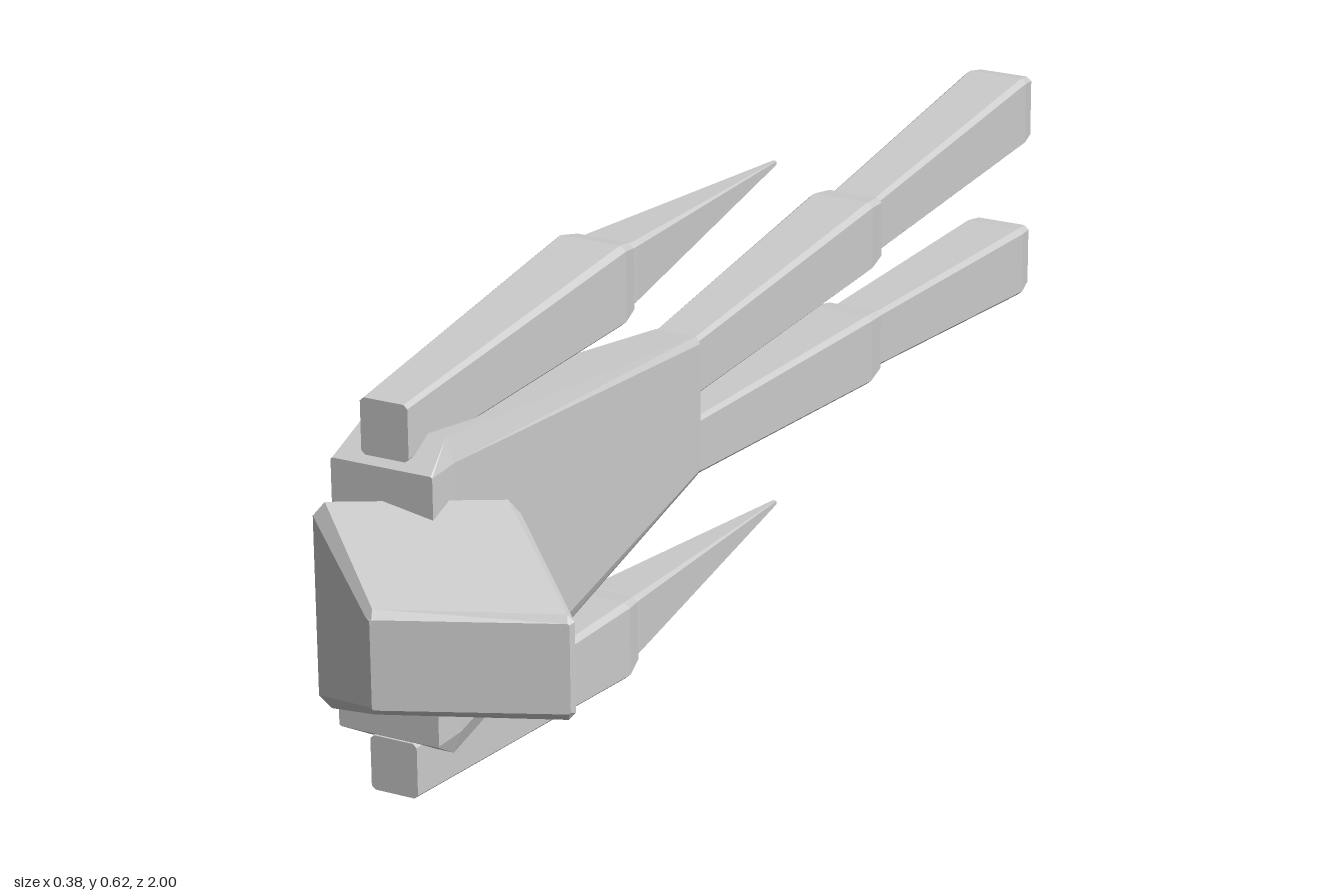
import * as THREE from 'three';

const CX = -0.115, CY = 0.306; // body axis

// Lofts chamfered rectangles from front (+z) to back.
// Section: centre x,y,z; half-width vector ux,uz; half height h; corner cuts as fractions cu, cv.
function loft(name, sections) {
  const rings = sections.map(({ x, y, z, ux, uz = 0, h, cu, cv }) => {
    const a = 1 - cu, b = 1 - cv;
    return [[1, -b], [1, b], [a, 1], [-a, 1], [-1, b], [-1, -b], [-a, -1], [a, -1]]
      .map(([s, t]) => [x + s * ux, y + t * h, z + s * uz]);
  });
  const pos = [];
  const tri = (...pts) => pts.forEach(p => pos.push(...p));
  for (let k = 0; k < rings.length - 1; k++) {
    for (let i = 0; i < 8; i++) {
      const j = (i + 1) % 8, A = rings[k], B = rings[k + 1];
      tri(A[i], B[i], B[j]);
      tri(A[i], B[j], A[j]);
    }
  }
  // End caps
  const F = rings[0], R = rings[rings.length - 1];
  for (let i = 1; i < 7; i++) {
    tri(F[0], F[i], F[i + 1]);
    tri(R[0], R[i + 1], R[i]);
  }
  const geo = new THREE.BufferGeometry();
  geo.setAttribute('position', new THREE.Float32BufferAttribute(pos, 3));
  geo.computeVertexNormals();
  const mesh = new THREE.Mesh(geo, new THREE.MeshStandardMaterial({ color: 0xcccccc, flatShading: true }));
  mesh.name = name;
  return mesh;
}

// Straight body part: rows of [z, offset from body axis, half width, half height]
const limb = (name, side, rows, cu = 0.16, cv = 0.13) =>
  loft(name, rows.map(([z, d, ux, h]) => ({ x: CX, y: CY + side * d, z, ux, h, cu, cv })));

// Head section given by the ground-plan ends of its slanted cut
const headCut = (x0, z0, x1, z1, h, cu, cv) => ({
  x: (x0 + x1) / 2, y: CY - 0.002, z: (z0 + z1) / 2, ux: (x1 - x0) / 2, uz: (z1 - z0) / 2, h, cu, cv,
});

export function createModel() {
  const group = new THREE.Group();
  group.name = 'lyingFigure';

  // Turned head, tapering from neck to crown
  group.add(loft('head', [
    headCut(-0.036, 1.0, 0.185, 0.9, 0.06, 0.02, 0.03),
    headCut(-0.046, 0.993, 0.188, 0.892, 0.07, 0.07, 0.14),
    headCut(-0.19, 0.877, 0.035, 0.753, 0.14, 0.12, 0.13),
    headCut(-0.186, 0.862, 0.018, 0.745, 0.122, 0.04, 0.03),
  ]));

  // Torso with bevelled shoulders, tapering to the hips
  group.add(loft('torso', [
    { x: CX, y: CY, z: 0.835, ux: 0.073, h: 0.183, cu: 0.03, cv: 0.01 },
    { x: CX, y: CY, z: 0.78, ux: 0.073, h: 0.215, cu: 0.16, cv: 0.15 },
    { x: CX, y: CY, z: 0.065, ux: 0.037, h: 0.102, cu: 0.16, cv: 0.1 },
  ]));

  for (const [side, label] of [[1, 'upper'], [-1, 'lower']]) {
    const arm = new THREE.Group();
    arm.name = label + 'SideArm';
    arm.add(
      limb('upperArm', side, [
        [0.825, 0.229, 0.034, 0.038], [0.3, 0.254, 0.053, 0.056], [0.265, 0.253, 0.046, 0.049]]),
      limb('forearm', side, [
        [0.28, 0.253, 0.04, 0.043], [0.25, 0.253, 0.041, 0.044], [-0.23, 0.257, 0.003, 0.003]]),
    );
    const leg = new THREE.Group();
    leg.name = label + 'SideLeg';
    leg.add(
      limb('thigh', side, [
        [0.075, 0.058, 0.035, 0.042], [-0.44, 0.087, 0.051, 0.053], [-0.48, 0.087, 0.046, 0.047]]),
      limb('shin', side, [
        [-0.46, 0.087, 0.038, 0.042], [-0.97, 0.121, 0.051, 0.054], [-1.0, 0.12, 0.046, 0.049]]),
    );
    group.add(arm, leg);
  }
  return group;
}
